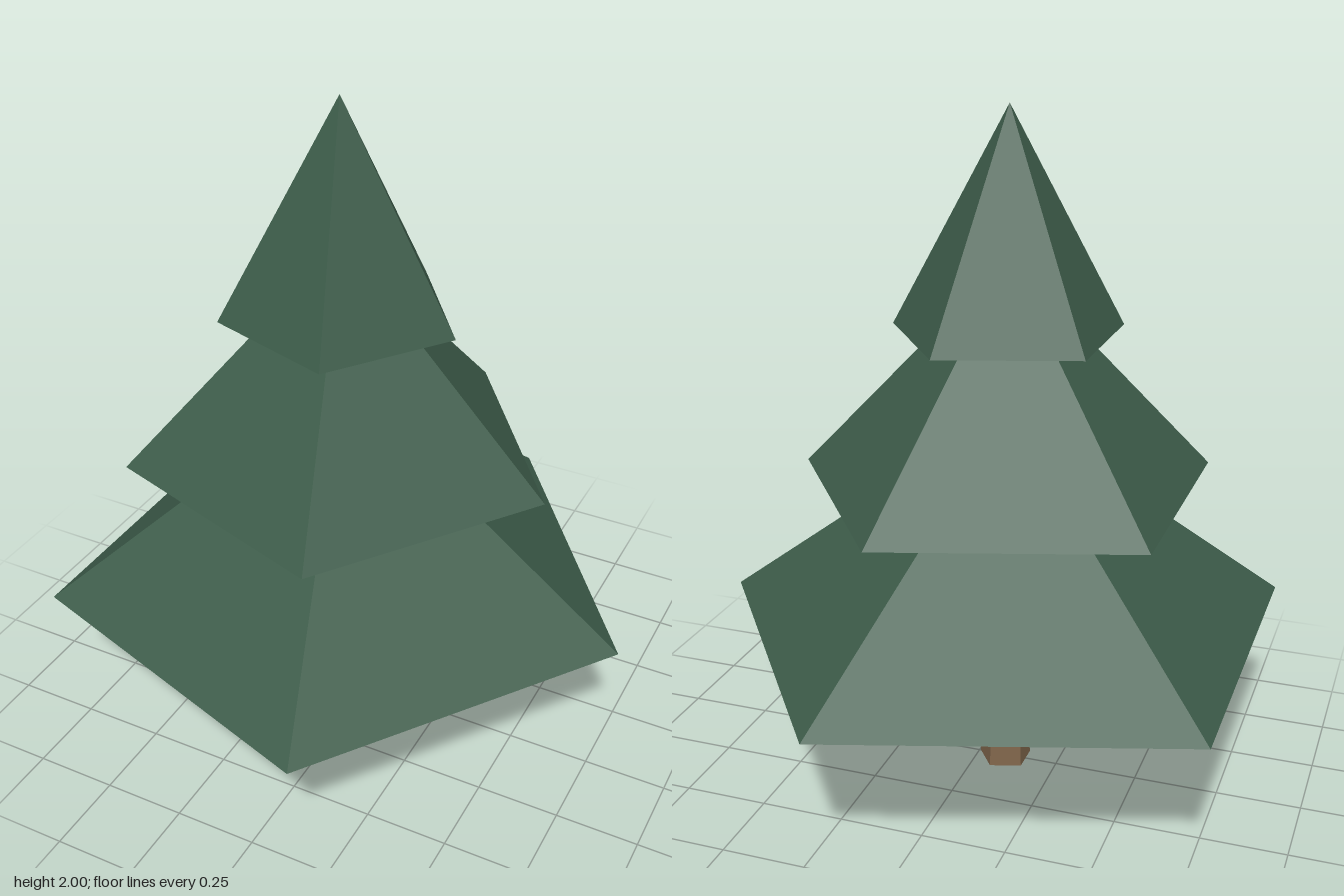
import * as THREE from 'three';

const SIDES = 5;
const AXIS_X = -0.086; // pentagons point to +x, so the trunk axis sits left of centre

export function createModel() {
  const green = new THREE.MeshStandardMaterial({ color: 0x3d5c4a, flatShading: true });
  green.name = 'needleGreen';
  const brown = new THREE.MeshStandardMaterial({ color: 0x80664b, flatShading: true });
  brown.name = 'barkBrown';

  const tree = new THREE.Group();
  tree.name = 'pineTree';

  // Five-sided tapered solid standing at height y, one corner facing +x
  const addTaper = (name, rTop, rBottom, y, height, material) => {
    const geometry = new THREE.CylinderGeometry(rTop, rBottom, height, SIDES, 1, false, Math.PI / 2);
    const mesh = new THREE.Mesh(geometry, material);
    mesh.name = name;
    mesh.position.set(AXIS_X, y + height / 2, 0);
    tree.add(mesh);
  };

  // Trunk
  addTaper('trunk', 0.06, 0.081, 0, 0.46, brown);

  // Foliage tiers, each tip hidden inside the tier above
  addTaper('lowerFoliage', 0, 0.9, 0.455, 0.68, green);
  addTaper('middleFoliage', 0, 0.642, 0.905, 0.675, green);
  addTaper('upperFoliage', 0, 0.352, 1.36, 0.64, green);

  return tree;
}
